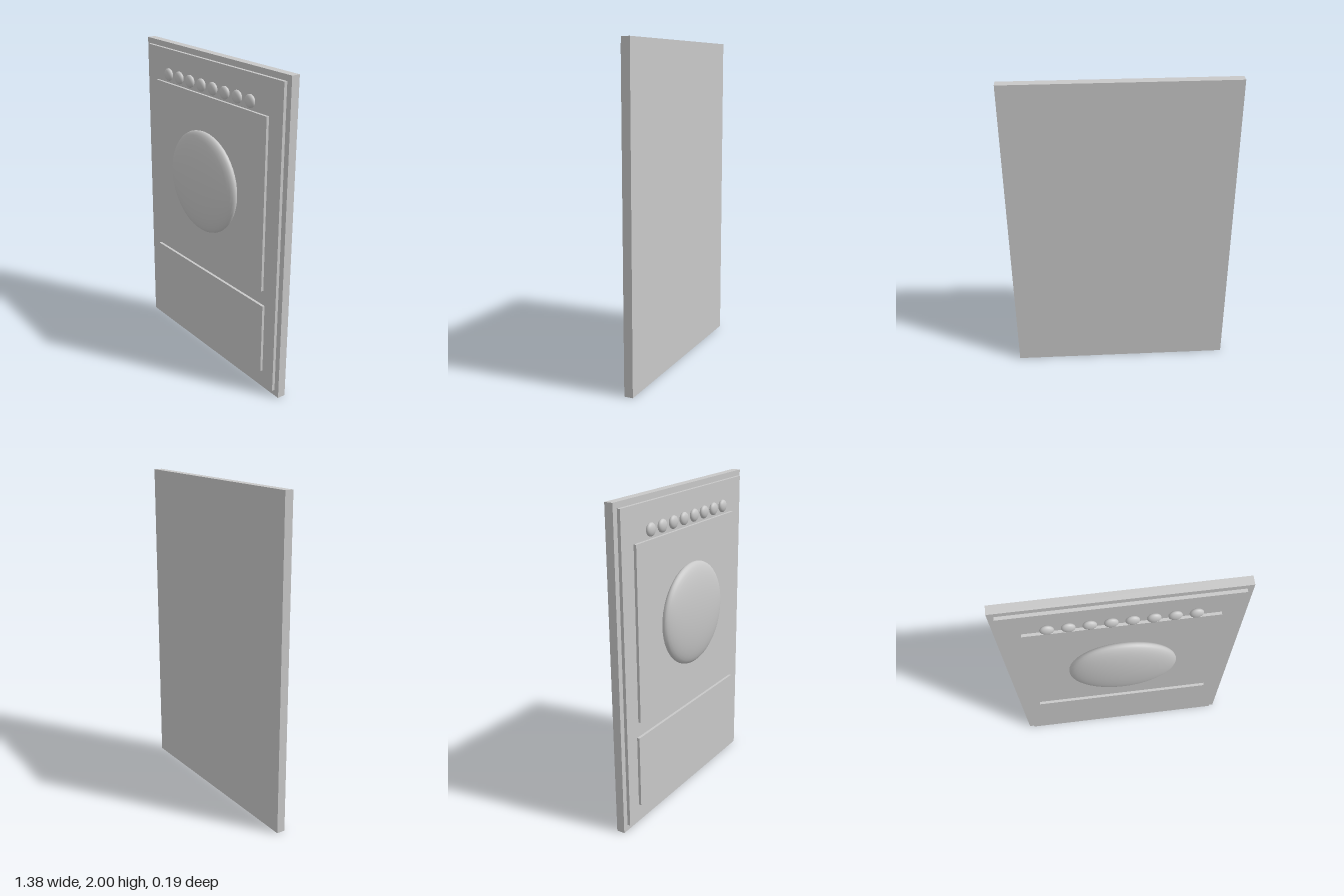
import * as THREE from 'three';

export function createModel() {
  const model = new THREE.Group();
  const grey = new THREE.MeshStandardMaterial({ color: 0xc8c8c8 });
  grey.name = 'light grey';

  // Box given by its extents on each axis
  function slab(name, x0, x1, y0, y1, z0, z1) {
    const mesh = new THREE.Mesh(new THREE.BoxGeometry(x1 - x0, y1 - y0, z1 - z0), grey);
    mesh.position.set((x0 + x1) / 2, (y0 + y1) / 2, (z0 + z1) / 2);
    mesh.name = name;
    model.add(mesh);
  }

  // Flattened sphere with its poles along z
  function dome(name, x, y, z, radius, depth, sides, rings) {
    const geometry = new THREE.SphereGeometry(1, sides, rings);
    geometry.rotateX(Math.PI / 2);
    geometry.scale(radius, radius, depth);
    const mesh = new THREE.Mesh(geometry, grey);
    mesh.position.set(x, y, z);
    mesh.name = name;
    model.add(mesh);
  }

  // Stepped body: back board, face plate and two raised panels
  slab('backBoard', -0.69, 0.69, 0, 2, -0.093, -0.04);
  slab('facePlate', -0.655, 0.655, 0.04, 1.965, -0.042, -0.02);
  slab('doorPanel', -0.543, 0.543, 0.69, 1.755, -0.022, -0.003);
  slab('drawerPanel', -0.559, 0.559, 0.138, 0.594, -0.022, -0.003);

  // Round door window
  dome('doorWindow', 0, 1.222, 0.022, 0.322, 0.071, 48, 24);

  // Row of control knobs
  for (let i = 0; i < 8; i++) {
    dome('knob' + (i + 1), -0.401 + i * 0.1143, 1.812, -0.003, 0.039, 0.02, 32, 16);
  }
  return model;
}
